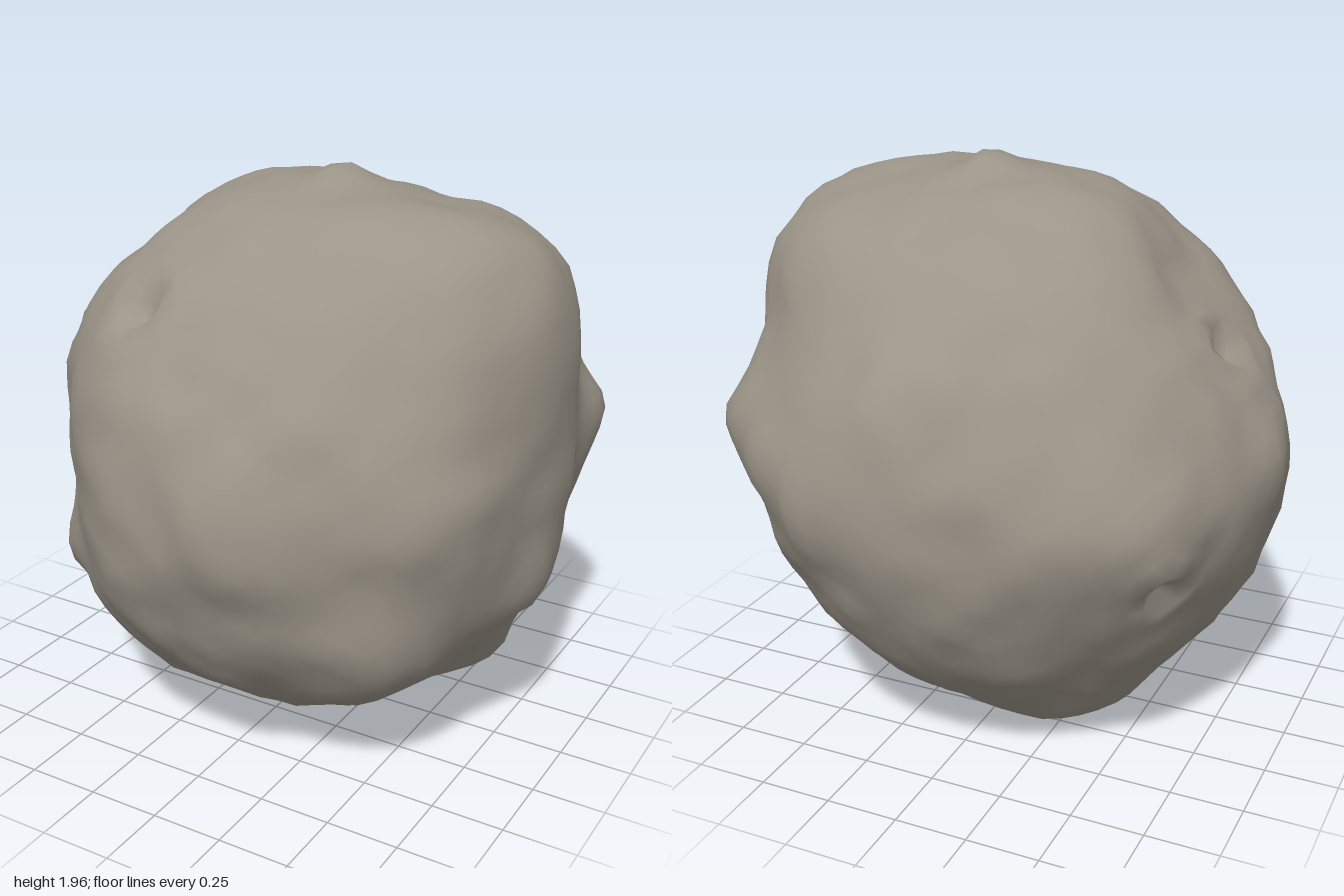
import * as THREE from 'three';
import { mergeVertices } from 'three/addons/utils/BufferGeometryUtils.js';

// Broad swells, hollows and nubs: x, y, z direction, height, angular width
const FEATURES = [
  [0.71, 0.7, 0.05, 0.07, 0.3],       // big upper shoulder
  [0.74, 0.68, 0.3, 0.12, 0.33],
  [0.74, 0.68, -0.22, 0.11, 0.33],
  [0.35, 0.87, 0.33, 0.065, 0.3],
  [0.5, 0.75, -0.45, 0.05, 0.25],
  [0.88, 0.45, 0.0, 0.045, 0.22],
  [-0.64, 0.58, 0.0, -0.085, 0.36],   // slanted upper flank
  [-0.35, 0.85, -0.12, 0.03, 0.2],
  [-0.7, 0.0, 0.6, -0.1, 0.4],        // flattened front corner
  [-0.61, -0.3, 0.61, 0.05, 0.13],
  [-0.34, -0.92, -0.28, 0.09, 0.28],  // underside swell
  [0.0, -0.99, 0.0, 0.035, 0.3],
  [0.69, -0.74, -0.12, 0.085, 0.18],
  [0.94, -0.32, 0.05, 0.06, 0.18],
  [-0.95, 0.07, -0.1, 0.04, 0.25],
  [0.13, 1.0, 0.0, 0.06, 0.09],       // top nub
  [0.25, 0.0, 0.95, 0.055, 0.2],      // front nub
  [0.35, 0.0, -0.93, 0.07, 0.25],
  [0.62, 0.1, -0.75, 0.045, 0.2],
  [0.1, 0.32, -0.9, 0.04, 0.15],
  [-0.72, 0.0, -0.72, 0.1, 0.26],
  [0.87, 0.13, -0.56, 0.09, 0.2],
  [0.64, -0.5, 0.62, 0.085, 0.26],
  [0.8, 0.12, 0.52, 0.06, 0.3],
].map(([x, y, z, height, width]) => ({ dir: new THREE.Vector3(x, y, z).normalize(), height, width }));

// Craters: direction, radius, depth
const CRATERS = [
  [-0.25, 0.62, 0.65, 0.13, 0.07],
  [-0.78, 0.45, -0.08, 0.12, 0.08],
  [-0.68, -0.2, -0.55, 0.1, 0.05],
].map(([x, y, z, radius, depth]) => ({ dir: new THREE.Vector3(x, y, z).normalize(), radius, depth }));

// Seeded lattice noise for the rough skin
function hash(x, y, z) {
  let h = Math.imul(x, 374761393) ^ Math.imul(y, 668265263) ^ Math.imul(z, 1274126177) ^ 9173;
  h = Math.imul(h ^ (h >>> 13), 1103515245);
  return ((h ^ (h >>> 16)) >>> 0) / 2147483648 - 1;
}

function noise(x, y, z) {
  const cell = [x, y, z].map(Math.floor);
  const [u, v, w] = [x, y, z].map((c, i) => THREE.MathUtils.smoothstep(c - cell[i], 0, 1));
  let sum = 0;
  for (let i = 0; i < 8; i++) {
    const [a, b, c] = [i & 1, (i >> 1) & 1, i >> 2];
    sum += hash(cell[0] + a, cell[1] + b, cell[2] + c) * (a ? u : 1 - u) * (b ? v : 1 - v) * (c ? w : 1 - w);
  }
  return sum;
}

function surfaceRadius(d) {
  let r = 0.925;
  for (const f of FEATURES) r += f.height * Math.exp(-((d.angleTo(f.dir) / f.width) ** 2));
  for (const c of CRATERS) {
    const t = d.angleTo(c.dir) / c.radius;
    // bowl with a low raised rim
    r += -c.depth * Math.exp(-((t * 1.5) ** 2)) + 0.025 * Math.exp(-(((t - 1) * 3) ** 2));
  }
  r += 0.01 * noise(d.x * 4 + 9, d.y * 4 + 9, d.z * 4 + 9);
  return r + 0.016 * noise(d.x * 8 + 30, d.y * 8 + 30, d.z * 8 + 30);
}

export function createModel() {
  const group = new THREE.Group();
  group.name = 'asteroid';

  // Welded sphere so the displaced surface shades smoothly
  let geometry = new THREE.IcosahedronGeometry(1, 15);
  geometry.deleteAttribute('uv');
  geometry.deleteAttribute('normal');
  geometry = mergeVertices(geometry, 1e-4);

  const position = geometry.attributes.position;
  const d = new THREE.Vector3();
  for (let i = 0; i < position.count; i++) {
    d.fromBufferAttribute(position, i).normalize();
    d.multiplyScalar(surfaceRadius(d));
    position.setXYZ(i, d.x, d.y, d.z);
  }

  // Rest the lowest point on the ground
  geometry.computeBoundingBox();
  geometry.translate(0, -geometry.boundingBox.min.y, 0);
  geometry.computeVertexNormals();

  const stone = new THREE.MeshStandardMaterial({ color: 0x9c9589 });
  stone.name = 'stone';
  const rock = new THREE.Mesh(geometry, stone);
  rock.name = 'rockBody';
  group.add(rock);
  return group;
}
